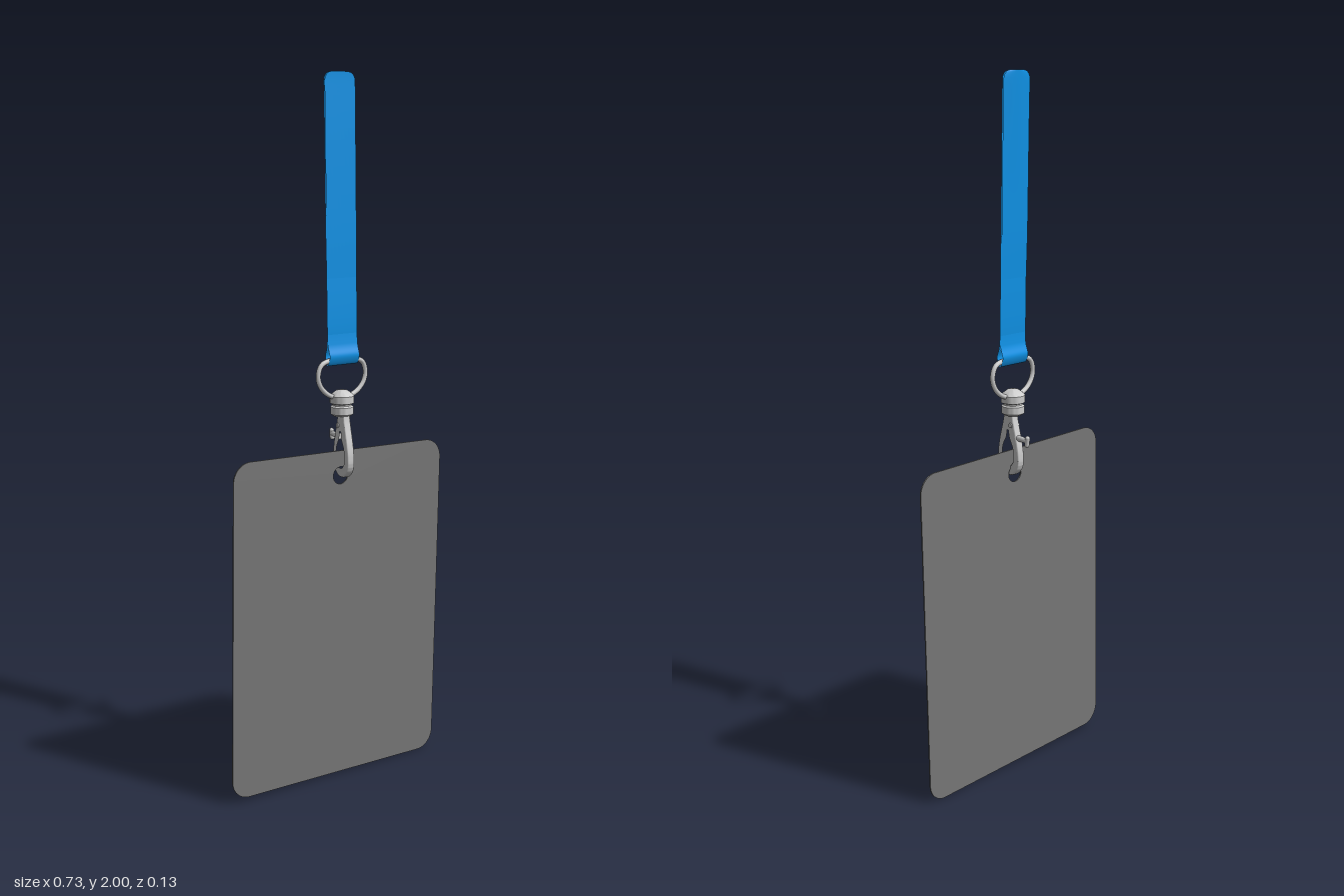
import * as THREE from 'three';
import { toCreasedNormals } from 'three/addons/utils/BufferGeometryUtils.js';

const metal = new THREE.MeshStandardMaterial({ color: 0xcccccc });
const cardGrey = new THREE.MeshStandardMaterial({ color: 0x777777 });
const blue = new THREE.MeshStandardMaterial({ color: 0x0f92e6, side: THREE.DoubleSide });

function add(parent, name, geometry, material) {
  const mesh = new THREE.Mesh(geometry, material);
  mesh.name = name;
  parent.add(mesh);
  return mesh;
}

// Thin card with rounded corners and a punched hole
function cardGeometry(w, h, r, t) {
  const s = new THREE.Shape();
  const x = w / 2, y = h / 2;
  s.absarc(x - r, y - r, r, 0, Math.PI / 2);
  s.absarc(-x + r, y - r, r, Math.PI / 2, Math.PI);
  s.absarc(-x + r, -y + r, r, Math.PI, Math.PI * 1.5);
  s.absarc(x - r, -y + r, r, Math.PI * 1.5, Math.PI * 2);
  s.closePath();
  const hole = new THREE.Path();
  hole.absarc(-0.004, 0.41, 0.025, 0, Math.PI * 2, true);
  s.holes.push(hole);
  const g = new THREE.ExtrudeGeometry(s, { depth: t, bevelEnabled: false, curveSegments: 16 });
  return toCreasedNormals(g.translate(0, 0, -t / 2), 0.6);
}

// Ribbon folded round the ring: down the back, round the bar, up the front
function strapGeometry() {
  const path = new THREE.CatmullRomCurve3([
    [2.0, -0.014], [1.98, -0.0135], [1.88, -0.011], [1.6, -0.006], [1.27, 0.001],
    [1.235, -0.008], [1.211, 0.003], [1.235, 0.014],
    [1.27, 0.005], [1.6, -0.002], [1.88, -0.007], [1.98, -0.009], [2.0, -0.009],
  ].map(([y, z]) => new THREE.Vector3(0, y, z)));
  const g = new THREE.PlaneGeometry(2, 1, 8, 96);
  const p = g.attributes.position;
  const r = 0.025;
  for (let i = 0; i < p.count; i++) {
    const u = p.getX(i), v = 0.5 - p.getY(i);
    const q = path.getPoint(v);
    // rounded top corners
    const over = Math.min(r, Math.max(0, q.y - (2 - r)));
    const half = 0.05 - r + Math.sqrt(r * r - over * over);
    // the back layer bows away from the front one near the top
    const bow = v < 0.5 ? 0.005 * THREE.MathUtils.smoothstep(q.y, 1.6, 2) * (1 - u * u) : 0;
    p.setXYZ(i, 0.01 + u * half, q.y, q.z - bow);
  }
  g.computeVertexNormals();
  return g;
}

// D-shaped wire ring with its straight bar inside the strap fold
function ringGeometry() {
  const pts = [[-0.05, 1.224], [0, 1.224], [0.05, 1.224], [0.071, 1.213], [0.08, 1.185]];
  for (let i = 1; i < 8; i++) {
    const a = (i / 8) * Math.PI;
    pts.push([0.08 * Math.cos(a), 1.185 - 0.066 * Math.sin(a)]);
  }
  pts.push([-0.08, 1.185], [-0.071, 1.213]);
  const path = new THREE.CatmullRomCurve3(pts.map(([x, y]) => new THREE.Vector3(x + 0.008, y, 0.004)), true);
  return new THREE.TubeGeometry(path, 80, 0.007, 10, true);
}

// Teardrop outline around the hook eye
function teardrop(path, top, neck, cy, r) {
  path.moveTo(neck, top);
  path.bezierCurveTo(neck, top - 0.04, r, cy + 0.055, r, cy);
  path.absarc(0, cy, r, 0, -Math.PI, true);
  path.bezierCurveTo(-r, cy + 0.055, -neck, top - 0.04, -neck, top);
  path.closePath();
  return path;
}

function hookGeometry() {
  const s = teardrop(new THREE.Shape(), 1.085, 0.014, 0.942, 0.044);
  s.holes.push(teardrop(new THREE.Path(), 1.025, 0.004, 0.946, 0.026));
  const g = new THREE.ExtrudeGeometry(s, {
    depth: 0.01, bevelEnabled: true, bevelThickness: 0.006, bevelSize: 0.004,
    bevelSegments: 3, curveSegments: 20,
  });
  return toCreasedNormals(g.translate(0, 0, -0.005), 0.7);
}

export function createModel() {
  const model = new THREE.Group();
  model.name = 'badgeHolder';

  const card = add(model, 'card', cardGeometry(0.711, 0.962, 0.055, 0.004), cardGrey);
  card.position.set(-0.002, 0.488, 0.004);
  card.rotation.set(0, 0.004, -0.02);

  add(model, 'strap', strapGeometry(), blue);
  add(model, 'ring', ringGeometry(), metal);

  // Swivel head: cap, groove and collar
  const profile = [[0, 1.068], [0.024, 1.068], [0.032, 1.074], [0.032, 1.094], [0.027, 1.098],
    [0.027, 1.102], [0.034, 1.105], [0.034, 1.125], [0.028, 1.131], [0.016, 1.14], [0, 1.142]];
  const swivel = new THREE.LatheGeometry(profile.map(([x, y]) => new THREE.Vector2(x, y)), 28);
  add(model, 'swivel', toCreasedNormals(swivel, 0.6), metal).position.set(0.007, 0, 0.005);

  // Hook with its thumb lever, lying almost edge-on to the front
  const hook = new THREE.Group();
  hook.name = 'hook';
  hook.position.set(0.008, 0, 0.012);
  hook.rotation.y = -(Math.PI / 2 + 0.16);
  model.add(hook);
  add(hook, 'hookBody', hookGeometry(), metal);

  const pivot = add(hook, 'gatePivot', new THREE.CylinderGeometry(0.007, 0.007, 0.028, 14), metal);
  pivot.rotation.x = Math.PI / 2;
  pivot.position.set(-0.014, 1.04, 0);

  const lever = add(hook, 'leverArm', new THREE.CylinderGeometry(0.007, 0.009, 0.05, 12), metal);
  lever.rotation.z = Math.PI / 2;
  lever.position.set(-0.05, 1.006, 0);

  const thumb = add(hook, 'leverThumb', new THREE.CapsuleGeometry(0.007, 0.02, 4, 12), metal);
  thumb.position.set(-0.075, 1.004, 0);
  thumb.rotation.z = 0.15;

  return model;
}
